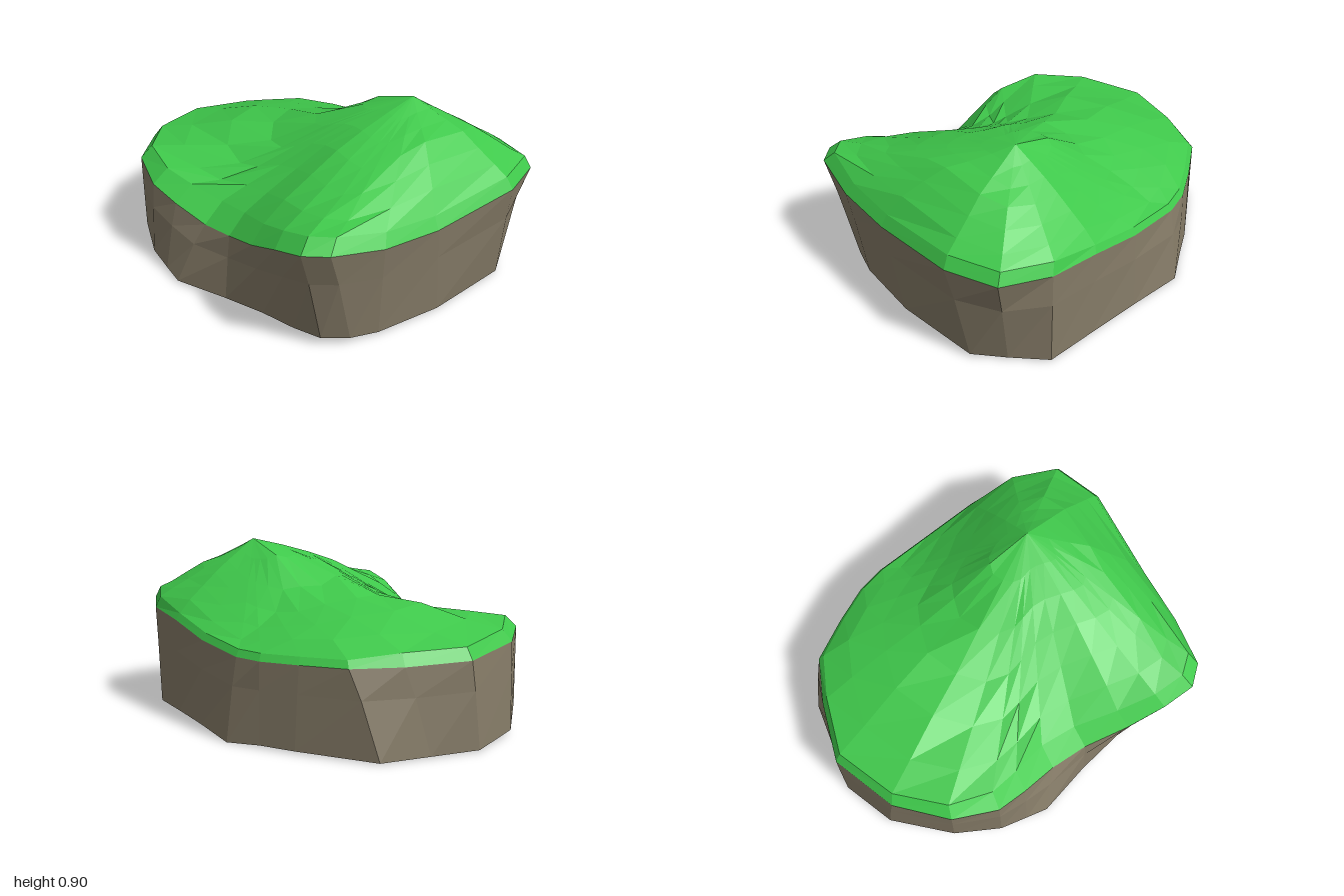
import * as THREE from 'three';

// Outline, clockwise from the right end: rim x, rim z, rim height, foot x, foot z, foot height
const OUTLINE = [
  [1, -.4, .55, .915, -.45, .015], [.955, .1, .505, .915, .02, .01], [.92, .42, .525, .86, .38, .02],
  [.85, .69, .57, .81, .52, .03], [.75, .775, .565, .73, .635, .045], [.58, .775, .52, .58, .67, .04],
  [.38, .745, .44, .38, .69, .03], [.15, .695, .365, .15, .735, .02], [-.05, .69, .34, -.15, .81, .01],
  [-.25, .72, .39, -.27, .79, .025], [-.42, .735, .44, -.42, .765, .05], [-.65, .65, .48, -.65, .65, .07],
  [-.86, .42, .46, -.9, .39, .03], [-.98, .06, .43, -1, .1, .005], [-.88, -.25, .42, -.95, -.15, .005],
  [-.77, -.48, .42, -.9, -.4, .005], [-.56, -.61, .415, -.55, -.63, .01], [-.37, -.71, .41, -.38, -.72, .01],
  [-.22, -.75, .41, -.22, -.81, 0], [.1, -.77, .44, .1, -.79, .01], [.4, -.775, .5, .4, -.77, .01],
  [.68, -.765, .53, .67, -.75, .005], [.92, -.66, .55, .8, -.59, .005],
];

// Ground heights: one row per z, one column per x
const XS = [-.9, -.5, -.1, .2, .43, .7, .95];
const ZS = [-.7, -.5, -.29, -.05, .2, .45, .7];
const HEIGHTS = [
  [.45, .45, .46, .53, .61, .63, .59],
  [.46, .52, .55, .67, .77, .75, .61],
  [.48, .58, .64, .83, .90, .81, .63],
  [.49, .62, .70, .81, .845, .80, .60],
  [.49, .62, .60, .69, .77, .74, .58],
  [.50, .56, .49, .55, .66, .67, .59],
  [.50, .52, .42, .43, .55, .63, .63],
];
const PEAK = [.43, -.29];

// Cell index and fraction of v within a rising list
function locate(list, v) {
  let i = 0;
  while (i < list.length - 2 && v > list[i + 1]) i++;
  return [i, THREE.MathUtils.clamp((v - list[i]) / (list[i + 1] - list[i]), 0, 1)];
}

function groundHeight(x, z) {
  const [i, u] = locate(XS, x);
  const [j, v] = locate(ZS, z);
  const row = (r) => THREE.MathUtils.lerp(HEIGHTS[r][i], HEIGHTS[r][i + 1], u);
  return THREE.MathUtils.lerp(row(j), row(j + 1), v);
}

// Joins closed rings of points, each to the next
function loft(rings) {
  const n = rings[0].length;
  const index = [];
  for (let r = 0; r < rings.length - 1; r++) {
    for (let i = 0; i < n; i++) {
      const a = r * n + i, b = r * n + (i + 1) % n;
      index.push(a, a + n, b, a + n, b + n, b);
    }
  }
  const geometry = new THREE.BufferGeometry();
  geometry.setAttribute('position', new THREE.Float32BufferAttribute(rings.flat(2), 3));
  geometry.setIndex(index);
  geometry.computeVertexNormals();
  return geometry;
}

export function createModel() {
  const group = new THREE.Group();
  const grass = new THREE.MeshStandardMaterial({ color: 0x3fc94b, flatShading: true });
  const rock = new THREE.MeshStandardMaterial({ color: 0x857b67, flatShading: true });
  const add = (name, rings, material) => {
    const mesh = new THREE.Mesh(loft(rings), material);
    mesh.name = name;
    group.add(mesh);
  };

  const rim = OUTLINE.map(([x, z, y]) => [x, y, z]);
  const foot = OUTLINE.map((p) => [p[3], p[5], p[4]]);

  // Rock wall with a band about two thirds of the way up
  const band = rim.map((p, i) => p.map((v, k) => THREE.MathUtils.lerp(foot[i][k], v, k === 1 ? .66 : .6)));
  add('rockWall', [foot, band, rim], rock);

  // Grass: a bevelled edge, widest in the front hollow and gentle at the back left,
  // then rings climbing to the peak
  const bevel = rim.map(([x, y, z]) => {
    const hollow = z > .6 ? Math.max(0, 1 - Math.abs(x) / .6) : 0;
    const rise = z < -.4 && x < .5 ? .035 : .06 + .035 * hollow;
    return [x * .965, y + rise, z * (z > 0 ? .91 - .08 * hollow : .975)];
  });
  const slopes = [.87, .7, .53, .36, .18, 0].map((t) => bevel.map(([bx, , bz]) => {
    const x = THREE.MathUtils.lerp(PEAK[0], bx, t);
    const z = THREE.MathUtils.lerp(PEAK[1], bz, t);
    return [x, groundHeight(x, z), z];
  }));
  add('grassTop', [rim, bevel, ...slopes], grass);

  // Slightly bulging underside
  const under = [0, .8].map((t) => foot.map(([x, , z]) => [x * t, .003, z * t]));
  add('underside', [...under, foot], grass);

  return group;
}
